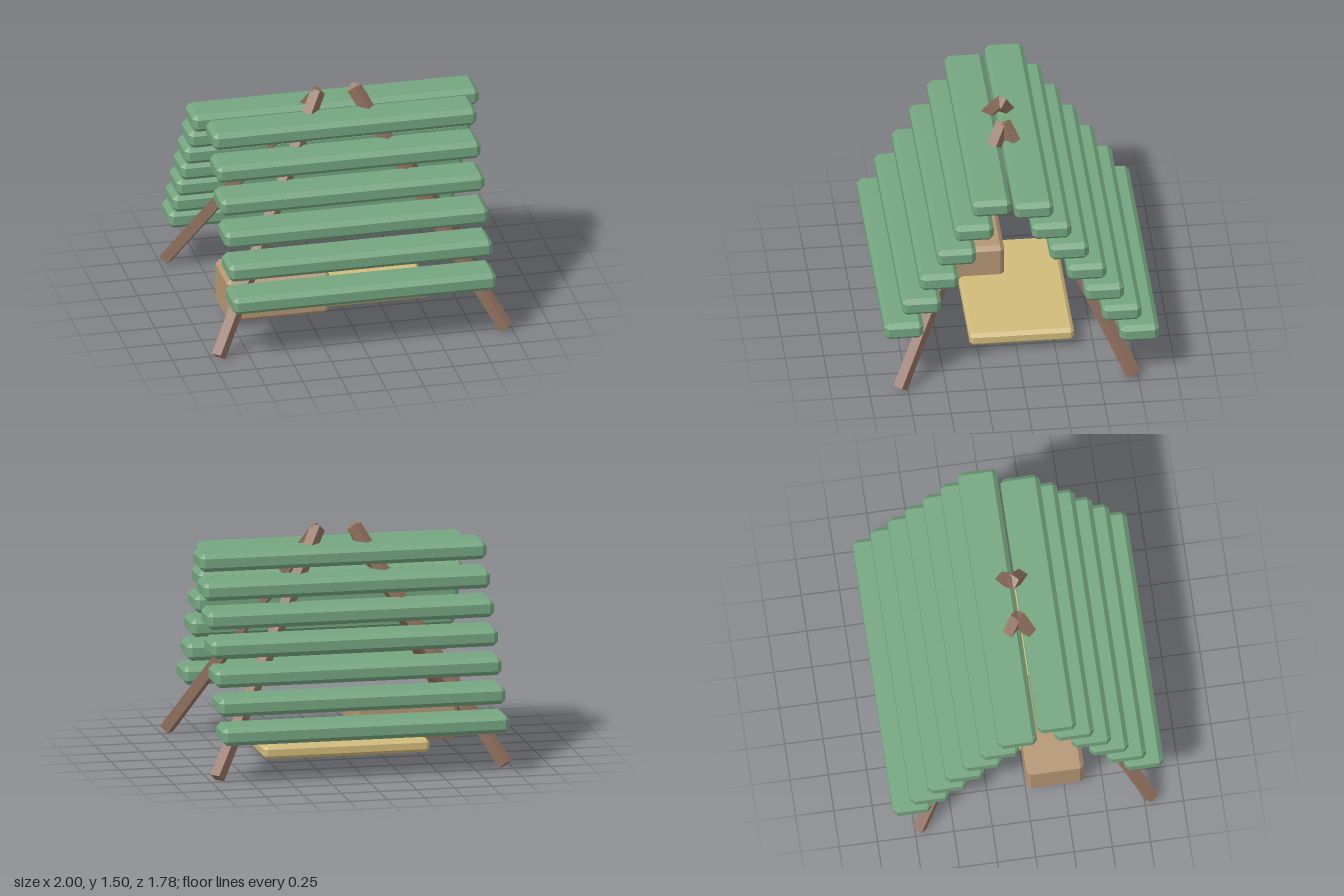
import * as THREE from 'three';
import { ConvexGeometry } from 'three/addons/geometries/ConvexGeometry.js';

const paint = (color) => new THREE.MeshStandardMaterial({ color, flatShading: true });
const green = paint(0x74a57f);
const wood = paint(0x8d6e5c);
const crateBrown = paint(0xb39674);
const straw = paint(0xd0ba7a);

// Box with every edge chamfered by b
function chamferBox(w, h, d, b) {
  const half = [w / 2, h / 2, d / 2];
  const points = [];
  for (const sx of [-1, 1]) for (const sy of [-1, 1]) for (const sz of [-1, 1]) {
    for (let full = 0; full < 3; full++) {
      const c = half.map((v, i) => (i === full ? v : v - b));
      points.push(new THREE.Vector3(sx * c[0], sy * c[1], sz * c[2]));
    }
  }
  return new ConvexGeometry(points);
}

// Square pole from a to b, with one pair of faces vertical
function pole(a, b, size) {
  const mesh = new THREE.Mesh(new THREE.BoxGeometry(size, a.distanceTo(b), size), wood);
  const axis = b.clone().sub(a).normalize();
  const side = new THREE.Vector3(0, 1, 0).cross(axis).normalize();
  const out = side.clone().cross(axis);
  mesh.quaternion.setFromRotationMatrix(new THREE.Matrix4().makeBasis(side, axis, out));
  mesh.position.copy(a).add(b).multiplyScalar(0.5);
  return mesh;
}

// Evenly stepped row of slats from the ridge to the eaves
function slatRow(name, count, width, top, bottom) {
  const row = new THREE.Group();
  row.name = name;
  const geometry = chamferBox(width, 0.12, 0.255, 0.03);
  for (let i = 0; i < count; i++) {
    const slat = new THREE.Mesh(geometry, green);
    slat.name = 'slat';
    slat.position.lerpVectors(top, bottom, i / (count - 1));
    row.add(slat);
  }
  return row;
}

export function createModel() {
  const model = new THREE.Group();
  model.name = 'leanToShelter';
  const V = (x, y, z) => new THREE.Vector3(x, y, z);

  // Four poles leaning together in pairs
  for (const sx of [-1, 1]) for (const sz of [-1, 1]) {
    const p = pole(V(sx * 0.955, 0.021, 0.04 + sz * 0.76), V(sx * 0.12, 1.479, 0.04), 0.07);
    p.name = (sz > 0 ? 'front' : 'back') + (sx > 0 ? 'Left' : 'Right') + 'Pole';
    model.add(p);
  }

  // Roof slats
  model.add(slatRow('frontSlats', 6, 1.75, V(0, 1.31, 0.193), V(0, 0.395, 0.763)));
  model.add(slatRow('backSlats', 7, 1.9, V(0, 1.325, -0.075), V(0, 0.32, -0.762)));

  // Crate and sleeping mat
  const crate = new THREE.Mesh(chamferBox(0.68, 0.3, 0.375, 0.027), crateBrown);
  crate.name = 'crate';
  crate.position.set(-0.46, 0.192, 0.193);
  const mat = new THREE.Mesh(chamferBox(1.1, 0.09, 0.68, 0.023), straw);
  mat.name = 'sleepingMat';
  mat.position.set(0.017, 0.09, -0.035);
  model.add(crate, mat);

  return model;
}
